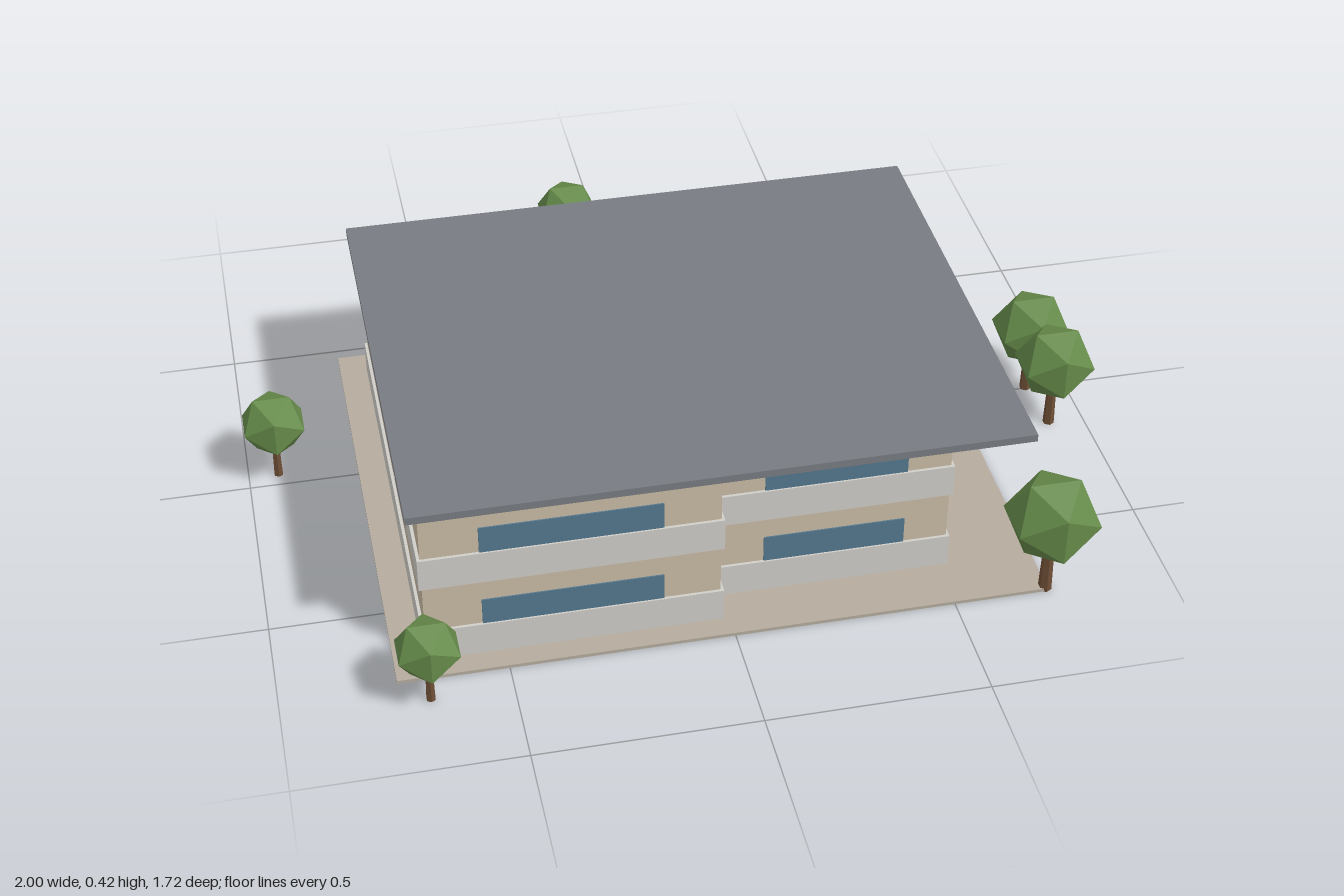
import * as THREE from 'three';

const mat = (color, flatShading = false) => new THREE.MeshStandardMaterial({ color, flatShading });

export function createModel() {
  const model = new THREE.Group();
  const mats = {
    paving: mat(0xb5ac9e),
    roof: mat(0x787c82),
    wall: mat(0xcabba5),
    parapet: mat(0xd0cdc8),
    glass: mat(0x55788f),
    leaf: mat(0x658a4a, true),
    bark: mat(0x6e4e36, true),
  };

  // Box given by its min and max corners
  function box(name, material, x0, x1, y0, y1, z0, z1, parent = model) {
    const mesh = new THREE.Mesh(new THREE.BoxGeometry(x1 - x0, y1 - y0, z1 - z0), material);
    mesh.position.set((x0 + x1) / 2, (y0 + y1) / 2, (z0 + z1) / 2);
    mesh.name = name;
    parent.add(mesh);
  }

  // Ground slab and flat overhanging roof
  box('groundSlab', mats.paving, -0.745, 0.715, 0, 0.008, -0.46, 0.73);
  box('roof', mats.roof, -0.70, 0.67, 0.402, 0.42, -0.415, 0.69);

  // Four units per floor: x range, z range, side of the outer window
  const units = [
    ['frontRightUnit', -0.68, -0.015, 0.14, 0.678, 1],
    ['frontLeftUnit', -0.015, 0.52, 0.14, 0.602, 1],
    ['backRightUnit', -0.68, -0.015, -0.4, 0.14, -1],
    ['backLeftUnit', -0.015, 0.52, -0.4, 0.075, -1],
  ];
  const inset = 0.007;
  for (const [name, x0, x1, z0, z1, side] of units) {
    for (const base of [0.008, 0.208]) {
      const unit = new THREE.Group();
      unit.name = name;
      model.add(unit);
      const sill = base + 0.08;
      box('parapet', mats.parapet, x0, x1, base, sill, z0, z1, unit);
      box('wall', mats.wall, x0 + inset, x1 - inset, sill, base + 0.194, z0 + inset, z1 - inset, unit);
      // Ribbon window standing just proud of the outer wall
      const mid = (x0 + x1) / 2, half = (x1 - x0) * 0.3;
      const face = side > 0 ? z1 - inset : z0 + inset;
      box('window', mats.glass, mid - half, mid + half, sill, sill + 0.066, face - 0.003, face + 0.003, unit);
    }
  }

  // Trees: x, z, crown radius
  const trees = [
    [-0.93, -0.04, 0.081], [-0.68, 0.79, 0.077], [0.712, 0.718, 0.11],
    [0.902, -0.003, 0.097], [0.914, 0.141, 0.097], [-0.102, -0.79, 0.082],
  ];
  for (const [x, z, r] of trees) {
    const tree = new THREE.Group();
    tree.name = 'tree';
    tree.position.set(x, 0, z);
    const trunkHeight = r * 1.3;
    const trunk = new THREE.Mesh(new THREE.CylinderGeometry(r * 0.11, r * 0.14, trunkHeight, 6), mats.bark);
    trunk.position.y = trunkHeight / 2;
    trunk.name = 'trunk';
    const crown = new THREE.Mesh(new THREE.IcosahedronGeometry(r, 0), mats.leaf);
    crown.position.y = r * 1.88;
    crown.name = 'crown';
    tree.add(trunk, crown);
    model.add(tree);
  }
  return model;
}
